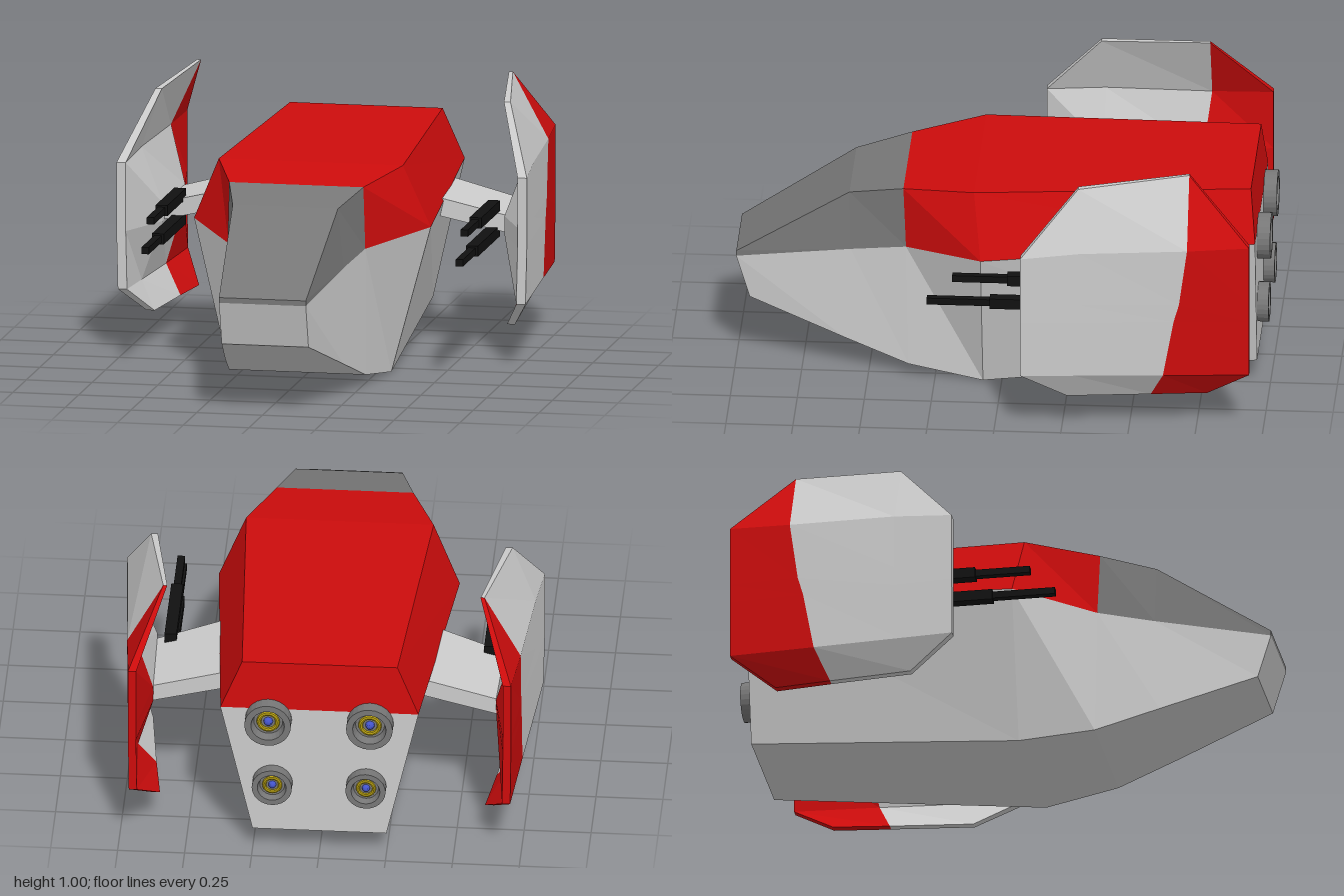
import * as THREE from 'three';

const mat = (color) => new THREE.MeshStandardMaterial({ color, flatShading: true });
const grey = mat(0xcccccc), red = mat(0xcc0c0c), dark = mat(0x777777);
const black = mat(0x111111), yellow = mat(0xb8a010), blue = mat(0x4455cc);

const flipX = ([x, y, z]) => [-x, y, z];
const mirrored = (quad) => quad.map(flipX).reverse();

// Flat-shaded mesh from four-cornered faces, leaving out empty triangles
function panels(name, quads, material) {
  const pos = [];
  const v = (p) => new THREE.Vector3(...p);
  for (const [a, b, c, d] of quads) {
    for (const t of [[a, b, c], [a, c, d]]) {
      const tri = new THREE.Triangle(...t.map(v));
      if (tri.getArea() > 1e-7) pos.push(...t.flat());
    }
  }
  const g = new THREE.BufferGeometry();
  g.setAttribute('position', new THREE.Float32BufferAttribute(pos, 3));
  g.computeVertexNormals();
  const m = new THREE.Mesh(g, material);
  m.name = name;
  return m;
}

function box(name, w, h, x, y, z0, z1, material) {
  const m = new THREE.Mesh(new THREE.BoxGeometry(w, h, z1 - z0), material);
  m.position.set(x, y, (z0 + z1) / 2);
  m.name = name;
  return m;
}

// Hull: half cross-sections from nose to tail (bottom, widest, top corner)
function buildHull() {
  const S = [
    [[0.165, 0.255, 0.95], [0.165, 0.42, 1], [0.165, 0.44, 1]],
    [[0.225, 0.125, 0.59], [0.222, 0.487, 0.57], [0.2, 0.71, 0.575]],
    [[0.26, 0.04, 0.35], [0.26, 0.52, 0.36], [0.255, 0.755, 0.37]],
    [[0.3, 0, 0.07], [0.45, 0.555, 0.07], [0.35, 0.79, 0.1]],
    [[0.25, 0.09, -0.95], [0.37, 0.62, -0.95], [0.29, 0.81, -0.93]],
  ];
  const lower = [], canopy = [], roof = [];
  const across = (a, b) => [flipX(a), a, b, flipX(b)];
  for (let i = 0; i < 4; i++) {
    const [b, m, t] = S[i], [b2, m2, t2] = S[i + 1];
    const side = [m, b, b2, m2], shoulder = [t, m, m2, t2];
    lower.push(side, mirrored(side), across(b2, b));
    (i < 2 ? canopy : roof).push(shoulder, mirrored(shoulder), across(t, t2));
  }
  const [b0, m0, t0] = S[0], [b4, m4, t4] = S[4];
  lower.push(across(b0, m0), across(m4, b4));
  canopy.push(across(m0, t0));
  roof.push(across(t4, m4));
  const hull = new THREE.Group();
  hull.name = 'hull';
  hull.add(panels('lowerHull', lower, grey), panels('canopy', canopy, dark), panels('roof', roof, red));
  return hull;
}

// Wing plate: rows from top to bottom, columns from front to rear,
// each point as [z, y, outer x, inner x]
function buildWing(side) {
  const rows = [
    [[-0.31, 0.965, 0.675, 0.65], [-0.31, 0.965, 0.675, 0.65], [-0.72, 1, 0.6, 0.585], [-0.72, 1, 0.6, 0.585]],
    [[-0.1, 0.72, 0.78, 0.745], [-0.32, 0.74, 0.762, 0.73], [-0.72, 0.75, 0.735, 0.7], [-0.95, 0.76, 0.715, 0.685]],
    [[-0.1, 0.53, 0.78, 0.745], [-0.32, 0.53, 0.762, 0.65], [-0.69, 0.53, 0.735, 0.64], [-0.95, 0.53, 0.715, 0.685]],
    [[-0.1, 0.46, 0.78, 0.745], [-0.32, 0.46, 0.762, 0.65], [-0.67, 0.46, 0.735, 0.64], [-0.95, 0.46, 0.715, 0.685]],
    [[-0.1, 0.24, 0.775, 0.74], [-0.3, 0.24, 0.76, 0.725], [-0.63, 0.24, 0.735, 0.7], [-0.95, 0.24, 0.712, 0.682]],
    [[-0.27, 0.13, 0.7, 0.67], [-0.27, 0.13, 0.7, 0.67], [-0.58, 0.13, 0.665, 0.635], [-0.79, 0.13, 0.64, 0.607]],
  ];
  const O = rows.map((r) => r.map(([z, y, xo]) => [xo, y, z]));
  const I = rows.map((r) => r.map(([z, y, , xi]) => [xi, y, z]));
  const front = [], rear = [];
  for (let r = 0; r < 5; r++) {
    for (let c = 0; c < 3; c++) {
      const loop = (P) => [P[r][c], P[r + 1][c], P[r + 1][c + 1], P[r][c + 1]];
      (c < 2 ? front : rear).push(loop(O), loop(I).reverse());
    }
  }
  // Rim joining the outer and inner skins
  const rim = [];
  for (let r = 0; r < 5; r++) rim.push([r, 0]);
  for (let c = 0; c < 3; c++) rim.push([5, c]);
  for (let r = 5; r > 0; r--) rim.push([r, 3]);
  for (let c = 3; c > 0; c--) rim.push([0, c]);
  rim.forEach(([r, c], i) => {
    const [r2, c2] = rim[(i + 1) % rim.length];
    (c + c2 > 4 ? rear : front).push([I[r][c], I[r2][c2], O[r2][c2], O[r][c]]);
  });

  // Strut from hull to wing, sloping down outwards
  const a = [[0.36, 0.605, -0.3], [0.36, 0.535, -0.3], [0.36, 0.535, -0.68], [0.36, 0.605, -0.68]];
  const b = [[0.66, 0.525, -0.35], [0.66, 0.46, -0.35], [0.66, 0.46, -0.68], [0.66, 0.525, -0.68]];
  const strut = a.map((p, i) => {
    const j = (i + 1) % 4;
    return [p, a[j], b[j], b[i]];
  });

  const place = (quads) => (side > 0 ? quads : quads.map(mirrored));
  const wing = new THREE.Group();
  wing.name = side > 0 ? 'leftWing' : 'rightWing';
  wing.add(panels('wingPlate', place(front), grey), panels('wingTrailingPanel', place(rear), red),
    panels('wingStrut', place(strut), grey));

  // Twin guns: y, step between housing and barrel, muzzle
  for (const [y, step, muzzle] of [[0.555, -0.04, 0.165], [0.46, 0.025, 0.26]]) {
    wing.add(box('gunHousing', 0.045, 0.04, side * 0.597, y, -0.39, step, black));
    wing.add(box('gunBarrel', 0.028, 0.026, side * 0.597, y, step, muzzle, black));
  }
  return wing;
}

// Engine nozzle with glowing core, opening towards the rear
function buildEngine(x, y, radius, length) {
  const engine = new THREE.Group();
  engine.name = 'engine';
  const profile = [[1, 0], [1, length], [0.72, length], [0.62, 0.015], [0, 0.015]];
  const shell = new THREE.Mesh(
    new THREE.LatheGeometry(profile.map(([r, h]) => new THREE.Vector2(r * radius, h)), 24), dark.clone());
  shell.material.side = THREE.DoubleSide;
  shell.rotation.x = -Math.PI / 2;
  shell.name = 'nozzle';
  const ring = new THREE.Mesh(new THREE.TorusGeometry(radius * 0.4, radius * 0.1, 8, 24), yellow);
  ring.position.z = -0.018;
  ring.name = 'glowRing';
  const core = new THREE.Mesh(new THREE.SphereGeometry(radius * 0.2, 12, 8), blue);
  core.position.z = -0.015;
  core.name = 'glowCore';
  engine.add(shell, ring, core);
  engine.position.set(x, y, -0.95);
  return engine;
}

export function createModel() {
  const ship = new THREE.Group();
  ship.name = 'spaceship';
  ship.add(buildHull());
  for (const side of [1, -1]) {
    ship.add(buildWing(side));
    ship.add(buildEngine(side * 0.19, 0.575, 0.087, 0.05), buildEngine(side * 0.175, 0.297, 0.075, 0.042));
  }
  return ship;
}
